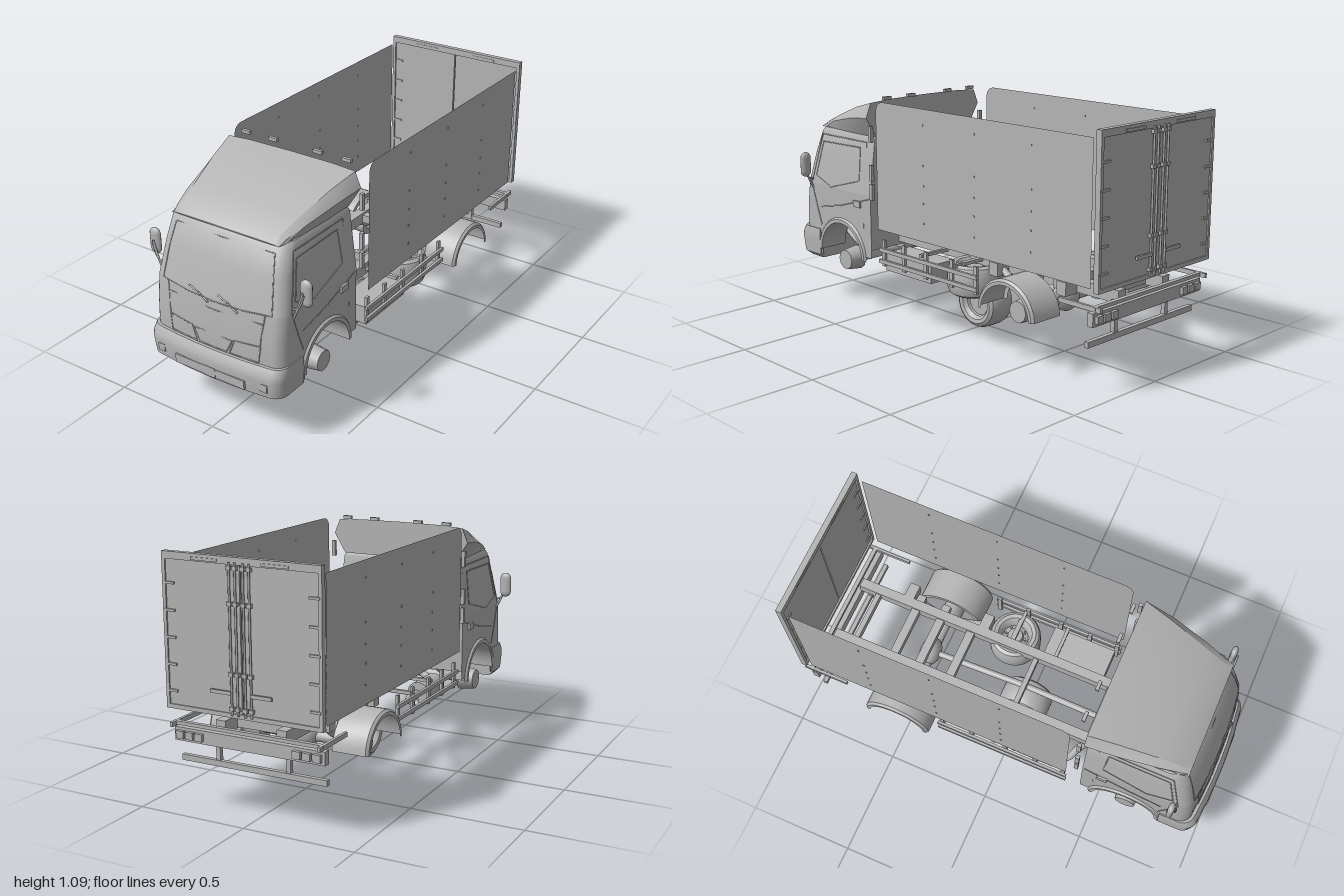
import * as THREE from 'three';
import { toCreasedNormals } from 'three/addons/utils/BufferGeometryUtils.js';

const grey = new THREE.MeshStandardMaterial({ color: 0xb4b4b4, side: THREE.DoubleSide });
grey.name = 'plain grey';
const V = (x, y, z) => new THREE.Vector3(x, y, z);
const lerp = THREE.MathUtils.lerp;

function add(parent, name, geo, x = 0, y = 0, z = 0) {
  const m = new THREE.Mesh(geo, grey);
  m.name = name;
  m.position.set(x, y, z);
  parent.add(m);
  return m;
}
// box given by its min and max on each axis
const box = (p, name, x0, x1, y0, y1, z0, z1) =>
  add(p, name, new THREE.BoxGeometry(Math.abs(x1 - x0), y1 - y0, Math.abs(z1 - z0)), (x0 + x1) / 2, (y0 + y1) / 2, (z0 + z1) / 2);
// cylinder between two points
function rod(p, name, a, b, r, r2 = r, sides = 16) {
  const d = b.clone().sub(a);
  const m = add(p, name, new THREE.CylinderGeometry(r2, r, d.length(), sides), ...a.clone().add(b).multiplyScalar(0.5));
  m.quaternion.setFromUnitVectors(V(0, 1, 0), d.normalize());
  return m;
}
function tube(p, name, pts, r, straight = false) {
  if (straight) {
    for (let i = 0; i + 1 < pts.length; i++) rod(p, name, pts[i], pts[i + 1], r, r, 5);
    return;
  }
  add(p, name, new THREE.TubeGeometry(new THREE.CatmullRomCurve3(pts), 32, r, 10));
}
// skin over equal-length cross-sections, optionally capped at either end
function loft(sections, closed, capStart, capEnd, crease = 0.5) {
  const n = sections[0].length, pos = sections.flat().flatMap(v => [v.x, v.y, v.z]), idx = [];
  for (let i = 0; i + 1 < sections.length; i++)
    for (let j = 0; j < (closed ? n : n - 1); j++) {
      const a = i * n + j, b = i * n + (j + 1) % n;
      idx.push(a, b, a + n, b, b + n, a + n);
    }
  const cap = (s, base, flip) => {
    const c = pos.length / 3, m = s.reduce((q, v) => q.add(v), V(0, 0, 0)).divideScalar(n);
    pos.push(m.x, m.y, m.z);
    for (let j = 0; j < n; j++) {
      const a = base + j, b = base + (j + 1) % n;
      idx.push(c, flip ? b : a, flip ? a : b);
    }
  };
  if (capStart) cap(sections[0], 0, true);
  if (capEnd) cap(sections.at(-1), (sections.length - 1) * n, false);
  const g = new THREE.BufferGeometry();
  g.setAttribute('position', new THREE.Float32BufferAttribute(pos, 3));
  g.setIndex(idx);
  return toCreasedNormals(g, crease);
}

// cab outline: half width and front position by height
const halfWidth = y => y < 0.6 ? 0.335 : lerp(0.335, 0.3, (y - 0.6) / 0.275);
const nose = [[0.25, 0.965], [0.4, 0.965], [0.5, 0.96], [0.6, 0.945], [0.75, 0.907], [0.875, 0.862]];
function noseZ(y) {
  const i = Math.max(1, nose.findIndex(p => p[0] >= y - 1e-6));
  const [a, b] = [nose[i - 1], nose[i]];
  return lerp(a[1], b[1], (y - a[0]) / (b[0] - a[0]));
}
// horizontal section with rounded front corners and a slightly bowed front
function frontSection(y, zf, w, zBack, r = 0.05) {
  const half = [[w, zBack]];
  for (let k = 0; k <= 6; k++) {
    const t = k / 6 * Math.PI / 2;
    half.push([w - r + r * Math.cos(t), zf - r + r * Math.sin(t)]);
  }
  for (const f of [0.6, 0.3, 0]) half.push([(w - r) * f, zf]);
  const bow = ([x, z]) => V(x, y, z === zBack ? z : z - 0.025 * (x / w) ** 2);
  return [...half.map(bow), ...half.slice(0, -1).reverse().map(([x, z]) => bow([-x, z]))];
}

function buildCab(g) {
  const sec = (y, zb) => frontSection(y, noseZ(y), halfWidth(y), zb);
  add(g, 'cabFront', loft([0.25, 0.4, 0.5, 0.6].map(y => sec(y, 0.83)), false, false, false));
  add(g, 'cabUpper', loft([...[0.6, 0.75, 0.86].map(y => sec(y, 0.42)),
    frontSection(0.878, 0.852, 0.292, 0.425), frontSection(0.885, 0.825, 0.27, 0.43)], true, false, true));
  box(g, 'cabBackWall', -0.335, 0.335, 0.34, 0.6, 0.42, 0.425);
  box(g, 'cabFloor', -0.33, 0.33, 0.435, 0.45, 0.42, 0.84);
  box(g, 'frontBulkhead', -0.33, 0.33, 0.25, 0.44, 0.815, 0.825);
  add(g, 'bumper', loft([[0.228, 0.965, 0.325], [0.245, 0.992, 0.34], [0.32, 1.0, 0.344], [0.345, 0.996, 0.344], [0.375, 0.978, 0.34]]
    .map(([y, z, w]) => frontSection(y, z, w, 0.81)), true, true, true));
  // roof fairing
  const ribs = [
    [0.415, [0.295, 0.875], [0.353, 0.97], [0.325, 1.038], [0.21, 1.045], [0, 1.047]],
    [0.55, [0.295, 0.875], [0.337, 0.955], [0.3, 1.003], [0.2, 1.012], [0, 1.014]],
    [0.73, [0.29, 0.875], [0.3, 0.915], [0.265, 0.94], [0.18, 0.948], [0, 0.951]],
    [0.82, [0.28, 0.875], [0.275, 0.89], [0.25, 0.903], [0.17, 0.908], [0, 0.91]],
    [0.86, [0.27, 0.874], [0.26, 0.876], [0.24, 0.878], [0.16, 0.879], [0, 0.879]]];
  add(g, 'roofFairing', loft(ribs.map(([z, ...h]) => [...h.map(([x, y]) => V(x, y, z)),
    ...h.slice(0, -1).reverse().map(([x, y]) => V(-x, y, z))]), true, true, true, 0.35));

  // trim lines lying on the front
  const frontLine = (name, pts) => tube(g, name, pts.map(([x, y]) =>
    V(x, y, noseZ(y) - 0.025 * (x / halfWidth(y)) ** 2)), 0.0025, true);
  frontLine('windscreenTop', [[-0.25, 0.84], [0, 0.845], [0.25, 0.84]]);
  frontLine('windscreenBottom', [[-0.28, 0.6], [-0.14, 0.588], [0, 0.585], [0.14, 0.588], [0.28, 0.6]]);
  frontLine('bonnetSeam', [[-0.24, 0.555], [0, 0.55], [0.24, 0.555]]);
  frontLine('lowerSeam', [[-0.22, 0.375], [0.22, 0.375]]);
  frontLine('grilleCentre', [[-0.1, 0.44], [-0.07, 0.38], [0.07, 0.38], [0.1, 0.44], [-0.1, 0.44]]);
  for (const s of [-1, 1]) {
    frontLine('windscreenSide', [[s * 0.28, 0.6], [s * 0.265, 0.74], [s * 0.25, 0.84]]);
    frontLine('bonnetSide', [[s * 0.25, 0.6], [s * 0.235, 0.48], [s * 0.22, 0.33]]);
    frontLine('headlamp', [[s * 0.11, 0.445], [s * 0.235, 0.455], [s * 0.225, 0.38], [s * 0.085, 0.38], [s * 0.11, 0.445]]);
    box(g, 'fogLamp', s * 0.25, s * 0.285, 0.272, 0.307, 0.965, 0.985);
    rod(g, 'wiper', V(s * 0.075 - 0.05, 0.62, 0.945), V(s * 0.075 + 0.055, 0.58, 0.955), 0.004, 0.003, 6);
    rod(g, 'wiperArm', V(s * 0.075, 0.607, 0.95), V(s * 0.075 + 0.05, 0.577, 0.957), 0.003, 0.003, 6);
  }
  box(g, 'bumperGrille', -0.18, 0.18, 0.257, 0.297, 0.97, 0.9985);
  box(g, 'bumperPlate', -0.032, 0.032, 0.255, 0.3, 0.97, 1.0);

  for (const s of [-1, 1]) {
    // side panel with the wheel arch cut away
    const side = new THREE.Shape();
    side.moveTo(0.795, 0.25).lineTo(0.83, 0.25).lineTo(0.83, 0.6).lineTo(0.42, 0.6).lineTo(0.42, 0.3).lineTo(0.485, 0.3);
    side.absarc(0.64, 0.28, 0.155, Math.PI, 0, true);
    const geo = new THREE.ShapeGeometry(side, 24);
    if (s > 0) geo.scale(-1, 1, 1).rotateY(Math.PI / 2); else geo.rotateY(-Math.PI / 2);
    // stand the flat shape on the cab flank
    const p = geo.attributes.position, flat = new THREE.ShapeGeometry(side, 24).attributes.position;
    for (let i = 0; i < p.count; i++) p.setXYZ(i, s * 0.335, flat.getY(i), flat.getX(i));
    geo.computeVertexNormals();
    add(g, 'cabSide', geo);
    const arc = (r, x) => Array.from({ length: 21 }, (_, k) =>
      V(s * x, 0.28 + r * Math.sin(k / 20 * Math.PI), 0.64 + r * Math.cos(k / 20 * Math.PI)));
    add(g, 'wheelArch', loft([arc(0.155, 0.2), arc(0.155, 0.345), arc(0.172, 0.345), arc(0.18, 0.335)], false));
    // door, window and seams
    const sideLine = (name, pts) => tube(g, name, pts.map(([z, y]) => V(s * halfWidth(y), y, z)), 0.0025, true);
    sideLine('doorSeam', [[0.87, 0.6], [0.81, 0.845], [0.475, 0.845], [0.475, 0.44]]);
    sideLine('doorFront', [[0.87, 0.6], [0.83, 0.48], [0.8, 0.4]]);
    sideLine('sideWindow', [[0.84, 0.64], [0.8, 0.81], [0.52, 0.815], [0.51, 0.66], [0.72, 0.6], [0.84, 0.64]]);
    sideLine('flankCrease', [[0.8, 0.49], [0.65, 0.52], [0.43, 0.585]]);
    box(g, 'doorHandle', s * 0.335, s * 0.345, 0.535, 0.565, 0.49, 0.54);
    // mirror
    const mirror = add(g, 'mirror', new THREE.CapsuleGeometry(0.028, 0.065, 6, 14), s * 0.388, 0.7, 0.845);
    mirror.scale.z = 0.55;
    tube(g, 'mirrorArm', [V(s * 0.33, 0.57, 0.86), V(s * 0.355, 0.62, 0.865), V(s * 0.385, 0.71, 0.865)], 0.005);
    tube(g, 'mirrorBrace', [V(s * 0.325, 0.62, 0.86), V(s * 0.36, 0.63, 0.865), V(s * 0.39, 0.7, 0.865)], 0.004);
    // front hub
    rod(g, 'frontHub', V(s * 0.24, 0.25, 0.64), V(s * 0.32, 0.25, 0.64), 0.058, 0.048, 10);
    tube(g, 'frontSpring', [V(s * 0.17, 0.36, 0.84), V(s * 0.17, 0.27, 0.64), V(s * 0.17, 0.36, 0.44)], 0.014);
  }
  rod(g, 'frontAxle', V(-0.26, 0.25, 0.64), V(0.26, 0.25, 0.64), 0.022);
  box(g, 'engine', -0.1, 0.1, 0.3, 0.44, 0.46, 0.78);
}

function buildCargoBox(g) {
  const wall = new THREE.Shape();
  wall.moveTo(-0.94, 0.46).lineTo(0.35, 0.46).lineTo(0.35, 1.0).quadraticCurveTo(0.35, 1.055, 0.295, 1.055).lineTo(-0.94, 1.055);
  for (const s of [-1, 1]) {
    add(g, 'cargoWall', new THREE.ShapeGeometry(wall).rotateY(-Math.PI / 2), s * 0.35);
    for (const z of [0.03, -0.29, -0.62]) for (const y of [0.54, 0.63, 0.71, 0.8, 0.98])
      box(g, 'rivet', s * 0.347, s * 0.353, y, y + 0.008, z - 0.003, z + 0.003);
    for (const y of [0.59, 0.68, 0.86]) box(g, 'sideMarker', s * 0.337, s * 0.353, y, y + 0.075, 0.385, 0.403);
    for (const x of [0.115, 0.26]) box(g, 'roofMarker', s * x - 0.022, s * x + 0.022, 1.05, 1.065, 0.37, 0.385);
    // rear door leaf, edge frame, hinges and locking bars
    box(g, 'rearDoor', s * 0.003, s * 0.35, 0.465, 1.065, -0.982, -0.97);
    box(g, 'doorPost', s * 0.345, s * 0.36, 0.45, 1.09, -0.988, -0.962);
    for (const y of [0.52, 0.63, 0.74, 0.85, 0.96]) box(g, 'hinge', s * 0.305, s * 0.352, y, y + 0.01, -0.99, -0.965);
    for (const x of [0.018, 0.045]) {
      rod(g, 'lockBar', V(s * x, 0.46, -0.99), V(s * x, 1.07, -0.99), 0.005, 0.005, 8);
      for (const y of [0.48, 0.62, 0.9, 1.04]) box(g, 'barClamp', s * x - 0.01, s * x + 0.01, y, y + 0.016, -0.997, -0.98);
    }
    box(g, 'lockHandle', s * 0.045, s * 0.14, 0.545, 0.56, -1.0, -0.99);
    box(g, 'topMarker', s * 0.1, s * 0.22, 1.065, 1.077, -0.992, -0.96);
  }
  box(g, 'doorLintel', -0.36, 0.36, 1.06, 1.09, -0.988, -0.962);
  box(g, 'doorSill', -0.36, 0.36, 0.45, 0.468, -0.988, -0.962);
}

// wheel lying flat, axis along y
function buildWheel(name) {
  const w = new THREE.Group();
  w.name = name;
  const prof = [[0.068, -0.05], [0.082, -0.068], [0.1, -0.072], [0.115, -0.062], [0.123, -0.04], [0.124, 0], [0.123, 0.04],
    [0.115, 0.062], [0.1, 0.072], [0.082, 0.068], [0.068, 0.05], [0.062, 0.02], [0.04, 0.03], [0.035, 0.05], [0, 0.052]];
  add(w, 'tyreAndRim', toCreasedNormals(new THREE.LatheGeometry(prof.map(p => new THREE.Vector2(...p)), 40), 0.6));
  add(w, 'rimDisc', new THREE.CylinderGeometry(0.068, 0.068, 0.03, 32), 0, -0.02, 0);
  for (let k = 0; k < 8; k++) {
    const a = k / 8 * Math.PI * 2;
    add(w, 'wheelNut', new THREE.CylinderGeometry(0.006, 0.006, 0.02, 6), 0.05 * Math.cos(a), 0.034, 0.05 * Math.sin(a));
  }
  return w;
}

function buildChassis(g) {
  for (const s of [-1, 1]) {
    box(g, 'chassisRail', s * 0.12, s * 0.165, 0.355, 0.41, -0.93, 0.8);
    // rear mudguard
    const arc = (r, x) => Array.from({ length: 17 }, (_, k) => {
      const t = lerp(0.05, Math.PI - 0.05, k / 16);
      return V(s * x, 0.25 + r * Math.sin(t), -0.505 + 1.03 * r * Math.cos(t));
    });
    add(g, 'rearMudguard', loft([arc(0.14, 0.222), arc(0.16, 0.222), arc(0.16, 0.375), arc(0.15, 0.386), arc(0.135, 0.386)], false));
    tube(g, 'rearSpring', [V(s * 0.19, 0.385, -0.29), V(s * 0.19, 0.31, -0.4), V(s * 0.19, 0.27, -0.5), V(s * 0.19, 0.31, -0.6), V(s * 0.19, 0.38, -0.69)], 0.016);
    for (const z of [-0.29, -0.685]) box(g, 'springBracket', s * 0.165, s * 0.235, 0.35, 0.41, z - 0.025, z + 0.025);
    rod(g, 'rearHub', V(s * 0.2, 0.25, -0.5), V(s * 0.3, 0.25, -0.5), 0.055, 0.048, 10);
    // side guard rails with posts
    for (const y of [0.3, 0.355]) box(g, 'sideGuard', s * 0.335, s * 0.348, y, y + 0.018, -0.3, 0.35);
    for (const z of [0.33, 0.19, 0.04, -0.13, -0.28]) box(g, 'guardPost', s * 0.325, s * 0.337, 0.285, 0.41, z - 0.01, z + 0.01);
    for (const z of [0.08, -0.14]) box(g, 'guardArm', s * 0.16, s * 0.33, 0.375, 0.39, z - 0.008, z + 0.008);
    box(g, 'rearSideRail', s * 0.335, s * 0.348, 0.37, 0.39, -0.99, -0.77);
    box(g, 'underrunPost', s * 0.155, s * 0.175, 0.215, 0.37, -0.92, -0.9);
    for (const x of [0.21, 0.255, 0.3]) box(g, 'rearLamp', s * x, s * (x + 0.036), 0.318, 0.35, -0.97, -0.95);
  }
  for (const [z, h, w] of [[-0.83, 0.012, 0.12], [-0.63, 0.02, 0.2], [-0.5, 0.02, 0.2], [-0.34, 0.02, 0.12], [0, 0.012, 0.12], [0.38, 0.015, 0.12]])
    box(g, 'crossMember', -w, w, 0.36, 0.4, z - h, z + h);
  box(g, 'rearLightBar', -0.35, 0.35, 0.305, 0.362, -0.955, -0.925);
  box(g, 'rearStepBar', -0.35, 0.35, 0.375, 0.39, -0.965, -0.945);
  box(g, 'underrunBar', -0.34, 0.34, 0.21, 0.235, -0.925, -0.905);
  // driveline
  rod(g, 'rearAxle', V(-0.22, 0.25, -0.5), V(0.22, 0.25, -0.5), 0.025);
  add(g, 'differential', new THREE.SphereGeometry(0.07, 20, 14), 0, 0.26, -0.505).scale.z = 0.75;
  rod(g, 'driveShaft', V(-0.01, 0.34, 0.46), V(-0.005, 0.34, 0), 0.015);
  rod(g, 'driveShaftRear', V(-0.005, 0.34, 0), V(0, 0.27, -0.47), 0.015);
  // fuel tank on the left, silencer and pipes on the right
  box(g, 'fuelTank', 0.18, 0.325, 0.265, 0.35, 0.015, 0.325);
  rod(g, 'silencer', V(-0.257, 0.31, 0.09), V(-0.257, 0.31, 0.27), 0.053, 0.053, 24);
  tube(g, 'exhaustTail', [V(-0.31, 0.31, -0.035), V(-0.27, 0.31, -0.03), V(-0.25, 0.31, 0.02), V(-0.25, 0.31, 0.1)], 0.017);
  tube(g, 'exhaustInlet', [V(-0.257, 0.31, 0.26), V(-0.24, 0.31, 0.32), V(-0.18, 0.32, 0.35), V(-0.1, 0.33, 0.42)], 0.017);
  // spare wheel under the frame and a loose wheel on the ground
  const spare = buildWheel('spareWheel');
  spare.position.set(0.205, 0.31, -0.145);
  const loose = buildWheel('looseWheel');
  loose.position.set(0, 0.124, 0);
  loose.rotation.z = Math.PI / 2;
  g.add(spare, loose);
  box(g, 'spareCarrier', 0.13, 0.28, 0.375, 0.39, -0.155, -0.135);
}

export function createModel() {
  const truck = new THREE.Group();
  truck.name = 'boxTruck';
  for (const [name, build] of [['cab', buildCab], ['cargoBox', buildCargoBox], ['chassis', buildChassis]]) {
    const g = new THREE.Group();
    g.name = name;
    build(g);
    truck.add(g);
  }
  return truck;
}
